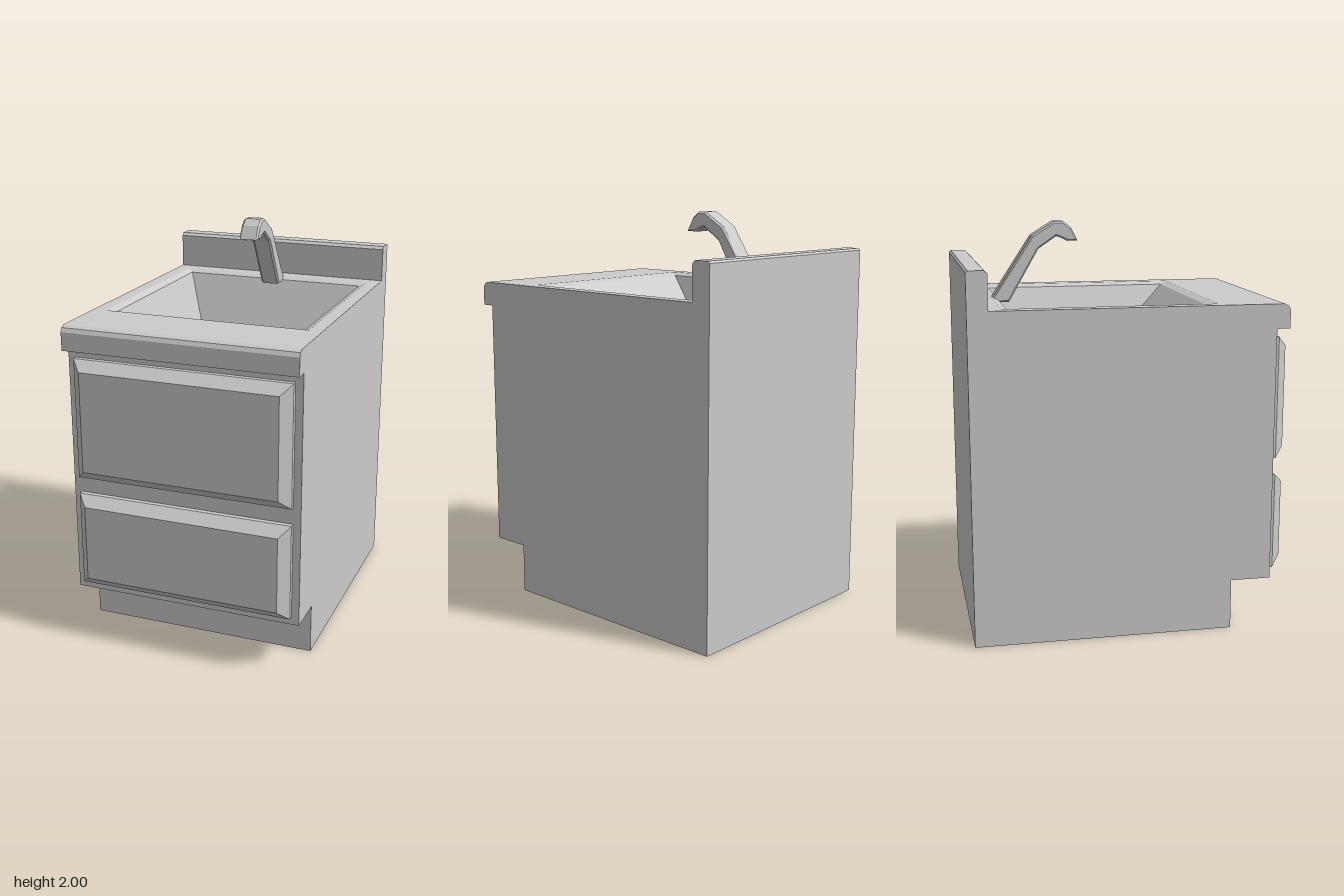
import * as THREE from 'three';

const grey = new THREE.MeshStandardMaterial({ color: 0xcccccc, flatShading: true });
const greyDouble = new THREE.MeshStandardMaterial({ color: 0xcccccc, flatShading: true, side: THREE.DoubleSide });
const HALF = 0.585;

// Skin between successive rows of points; closed rings may be capped at the end
function loft(rows, closed, cap) {
  const pos = [];
  const quad = (a, b, c, d) => pos.push(...a, ...b, ...c, ...a, ...c, ...d);
  for (let i = 0; i < rows.length - 1; i++) {
    const n = rows[i].length;
    for (let j = 0; j < (closed ? n : n - 1); j++) {
      const k = (j + 1) % n;
      quad(rows[i][j], rows[i + 1][j], rows[i + 1][k], rows[i][k]);
    }
  }
  if (cap) quad(...[...rows[rows.length - 1]].reverse());
  const geo = new THREE.BufferGeometry();
  geo.setAttribute('position', new THREE.Float32BufferAttribute(pos, 3));
  geo.computeVertexNormals();
  return geo;
}

// Horizontal rectangle, clockwise from above
const flatRing = ([x, back, front, y]) => [[-x, y, back], [x, y, back], [x, y, front], [-x, y, front]];
// Upright rectangle, clockwise from the front
const uprightRing = (x, y0, y1, z) => [[-x, y0, z], [-x, y1, z], [x, y1, z], [x, y0, z]];

const toShape = (pts) => new THREE.Shape(pts.map(([z, y]) => new THREE.Vector2(z, y)));

export function createModel() {
  const model = new THREE.Group();
  model.name = 'sinkCabinet';
  const add = (name, geo, mat = grey) => {
    const mesh = new THREE.Mesh(geo, mat);
    mesh.name = name;
    model.add(mesh);
    return mesh;
  };

  // Cabinet side profile (z, y): counter lip, toe kick, back, backsplash
  const profile = [
    [0.74, 1.63], [0.76, 1.62], [0.77, 1.60], [0.77, 1.51], [0.705, 1.51], [0.705, 0.25],
    [0.505, 0.25], [0.505, 0], [-0.775, 0], [-0.775, 1.805], [-0.765, 1.815],
    [-0.69, 1.815], [-0.675, 1.80], [-0.675, 1.63],
  ];
  add('cabinetShell', loft(profile.map(([z, y]) => [[-HALF, y, z], [HALF, y, z]]), false, false));
  for (const side of [-1, 1]) {
    const panel = add(side > 0 ? 'leftPanel' : 'rightPanel',
      new THREE.ShapeGeometry(toShape(profile)).rotateY(-Math.PI / 2), greyDouble);
    panel.position.x = side * HALF;
  }

  // Counter around the basin opening, then the basin with a sloping front wall
  const rim = [0.52, -0.61, 0.43, 1.63];
  add('counterTop', loft([[HALF, -0.675, 0.74, 1.63], rim].map(flatRing), true, false));
  add('basin', loft([
    rim,
    [0.485, -0.575, 0.39, 1.615],
    [0.365, -0.45, 0.06, 1.29],
    [0.315, -0.40, 0.01, 1.26],
  ].map(flatRing), true, true));

  // Two raised drawer fronts with bevelled borders
  for (const [name, y0, y1] of [['upperDrawer', 0.86, 1.465], ['lowerDrawer', 0.29, 0.775]]) {
    add(name, loft([
      uprightRing(0.547, y0, y1, 0.70),
      uprightRing(0.547, y0, y1, 0.73),
      uprightRing(0.497, y0 + 0.05, y1 - 0.05, 0.78),
    ], true, true));
  }

  // Bent faucet
  const spout = toShape([
    [-0.605, 1.61], [-0.525, 1.61], [-0.375, 1.87], [-0.28, 1.935], [-0.25, 1.925],
    [-0.22, 1.91], [-0.18, 1.91], [-0.21, 1.965], [-0.245, 1.992], [-0.285, 1.992], [-0.395, 1.925],
  ]);
  const faucet = new THREE.ExtrudeGeometry(spout, {
    depth: 0.08, bevelEnabled: true, bevelThickness: 0.01, bevelSize: 0.008, bevelSegments: 1,
  });
  add('faucet', faucet.translate(0, 0, -0.04).rotateY(-Math.PI / 2));

  return model;
}
